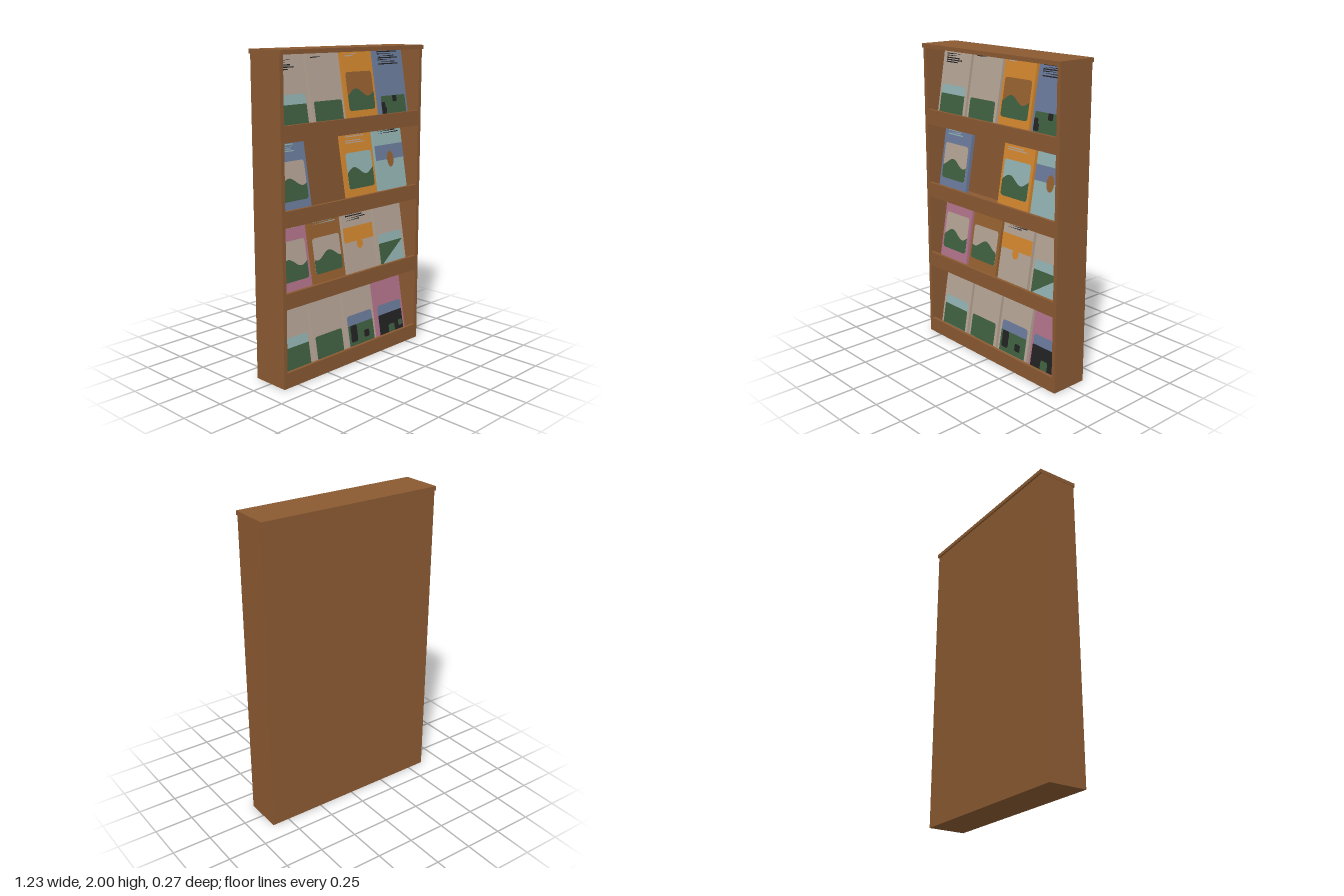
import * as THREE from 'three';

const mat = (name, color) => {
  const m = new THREE.MeshStandardMaterial({ color });
  m.name = name;
  return m;
};
const C = {
  wood: mat('wood', 0x8b5a32),
  beige: mat('beige', 0xb4a294),
  teal: mat('teal', 0x92b1b1),
  green: mat('green', 0x3e5f40),
  orange: mat('orange', 0xd1852d),
  blue: mat('blue', 0x6a7a9b),
  pink: mat('pink', 0xb07189),
  black: mat('black', 0x222222),
  brown: mat('brown', 0x96602f),
};

const PITCH = 0.4935;   // shelf spacing
const FLOOR = 0.02;     // shelf board thickness
const TILT = 0.172;     // backward lean of the magazines
const COS = Math.cos(TILT);
const MAG_W = 0.273, MAG_H = 0.478 / COS, MAG_T = 0.025;
const PANEL = 0.117;    // half width of a cover picture
const LOW = 0.06;       // lower end of fields that run behind the lip
const R = 0.022;        // picture corner radius

function box(parent, name, material, x0, x1, y0, y1, z0, z1) {
  const m = new THREE.Mesh(new THREE.BoxGeometry(x1 - x0, y1 - y0, z1 - z0), material);
  m.position.set((x0 + x1) / 2, (y0 + y1) / 2, (z0 + z1) / 2);
  m.name = name;
  parent.add(m);
}

// Height above the lip's lower edge -> distance up the leaning cover
const up = (h) => (h - FLOOR) / COS;

function plate(parent, name, color, shape, layer) {
  const m = new THREE.Mesh(new THREE.ShapeGeometry(shape, 10), C[color]);
  m.position.z = 0.0018 * layer;
  m.name = name;
  parent.add(m);
}

// Lower edge of a plate with rounded corners, drawn left to right
function lowerEdge(s, x0, x1, a, r) {
  s.moveTo(x0, a + r);
  s.quadraticCurveTo(x0, a, x0 + r, a);
  s.lineTo(x1 - r, a);
  s.quadraticCurveTo(x1, a, x1, a + r);
}

// Rectangle with separate top and bottom corner radii
function rect(x0, x1, h0, h1, rTop = 0, rBottom = 0) {
  const b = up(h1), s = new THREE.Shape();
  lowerEdge(s, x0, x1, up(h0), rBottom);
  s.lineTo(x1, b - rTop);
  s.quadraticCurveTo(x1, b, x1 - rTop, b);
  s.lineTo(x0 + rTop, b);
  s.quadraticCurveTo(x0, b, x0, b - rTop);
  return s;
}

// Rounded picture with a wavy hill cresting at x = peak
const picture = (sky, top, peak) => (g) => {
  const bottom = 0.128, hill = new THREE.Shape();
  plate(g, 'picture', sky, rect(-PANEL, PANEL, bottom, top, R, R), 1);
  lowerEdge(hill, -PANEL, PANEL, up(bottom), R);
  for (let i = 0; i <= 24; i++) {
    const x = PANEL * (1 - i / 12);
    hill.lineTo(x, up(0.237 + 0.025 * Math.cos(30 * (x - peak))));
  }
  plate(g, 'hill', 'green', hill, 2);
};

// Flat field under a strip of sky
const field = (ground, top, sky, skyTop) => (g) => {
  plate(g, 'sky', sky, rect(-PANEL, PANEL, LOW, skyTop, R), 1);
  plate(g, 'field', ground, rect(-PANEL, PANEL, LOW, top), 2);
};

// Flat field with rounded top corners
const meadow = (top) => (g) =>
  plate(g, 'field', 'green', rect(-PANEL, PANEL, LOW, top, 0.014), 2);

// Rounded patches on a field: each is [x, height, half width]
const patches = (color, list) => (g) => {
  for (const [x, h, r] of list)
    plate(g, 'patch', color, rect(x - r, x + r, h - r, h + r, r / 2, r / 2), 3);
};

// Full-width band with an oval emblem
const band = (color, h0, h1, emblem, h, rx, ry) => (g) => {
  plate(g, 'band', color, rect(-MAG_W / 2, MAG_W / 2, h0, h1), 1);
  const oval = new THREE.Shape();
  oval.absellipse(0, up(h), rx, ry, 0, Math.PI * 2, false, 0);
  plate(g, 'emblem', emblem, oval, 2);
};

// Ruled bars stepping down from a top height, in three alternating lengths
const bars = (color, top, count, length) => (g) => {
  for (let i = 0; i < count; i++) {
    const h = top - 0.0128 * i, w = length * (1 - 0.15 * ((i * 2) % 3));
    plate(g, 'ruledBar', color, rect(-0.103, -0.103 + w, h - 0.007, h), 1);
  }
};

// Magazines by shelf, bottom to top: [cover colour, ...decorations]
const SHELVES = [
  [
    ['beige', field('green', 0.2, 'teal', 0.26), bars('black', 0.491, 5, 0.19)],
    ['beige', meadow(0.21), bars('black', 0.491, 3, 0.18)],
    ['beige', field('green', 0.2, 'blue', 0.265), bars('black', 0.47, 3, 0.11),
      patches('black', [[-0.07, 0.17, 0.03], [-0.07, 0.12, 0.03], [0.047, 0.12, 0.024]])],
    ['pink', field('black', 0.2, 'blue', 0.265), bars('black', 0.45, 1, 0.15),
      patches('green', [[0, 0.09, 0.03], [0.09, 0.11, 0.02]])],
  ],
  [
    ['pink', picture('beige', 0.37, -0.037), bars('beige', 0.477, 3, 0.21)],
    ['brown', picture('beige', 0.35, 0.013), bars('teal', 0.477, 4, 0.2)],
    ['beige', band('orange', 0.27, 0.365, 'orange', 0.25, 0.028, 0.032), bars('black', 0.465, 5, 0.18)],
    ['beige', field('green', 0.21, 'teal', 0.27), bars('black', 0.486, 3, 0.15)],
  ],
  [
    ['blue', picture('beige', 0.36, -0.02), bars('teal', 0.487, 6, 0.18)],
    null,
    ['orange', picture('teal', 0.354, -0.055), bars('beige', 0.483, 6, 0.2)],
    ['teal', band('blue', 0.275, 0.37, 'brown', 0.275, 0.031, 0.052), bars('black', 0.491, 4, 0.21)],
  ],
  [
    ['beige', field('green', 0.2, 'teal', 0.258), bars('black', 0.455, 5, 0.155)],
    ['beige', meadow(0.205), bars('black', 0.465, 2, 0.12)],
    ['orange', picture('brown', 0.364, -0.042), bars('beige', 0.478, 2, 0.1)],
    ['blue', meadow(0.2), bars('black', 0.482, 7, 0.19),
      patches('black', [[-0.1, 0.145, 0.017], [-0.095, 0.11, 0.022], [0.012, 0.18, 0.02]])],
  ],
];

export function createModel() {
  const root = new THREE.Group();
  root.name = 'magazineRack';

  // Carcass
  box(root, 'leftSide', C.wood, 0.588, 0.614, 0, 1.974, -0.125, 0.125);
  box(root, 'rightSide', C.wood, -0.614, -0.588, 0, 1.974, -0.125, 0.125);
  box(root, 'backPanel', C.wood, -0.588, 0.588, 0, 1.974, -0.125, -0.105);
  box(root, 'topBoard', C.wood, -0.616, 0.616, 1.974, 2, -0.135, 0.135);

  SHELVES.forEach((row, i) => {
    const y = i * PITCH;
    // Shelf board and its retaining lip
    box(root, 'shelf', C.wood, -0.588, 0.588, y, y + FLOOR, -0.105, 0.105);
    box(root, 'frontLip', C.wood, -0.588, 0.588, y, y + 0.098, 0.105, 0.125);

    // Leaning magazines
    row.forEach((spec, j) => {
      if (!spec) return;
      const [cover, ...decorations] = spec;
      const g = new THREE.Group();
      g.name = 'magazine';
      box(g, 'cover', C[cover], -MAG_W / 2, MAG_W / 2, 0, MAG_H, -MAG_T, 0);
      decorations.forEach((d) => d(g));
      g.position.set((j - 1.5) * 0.294, y + FLOOR, 0.057);
      g.rotation.x = -TILT;
      root.add(g);
    });
  });
  return root;
}
